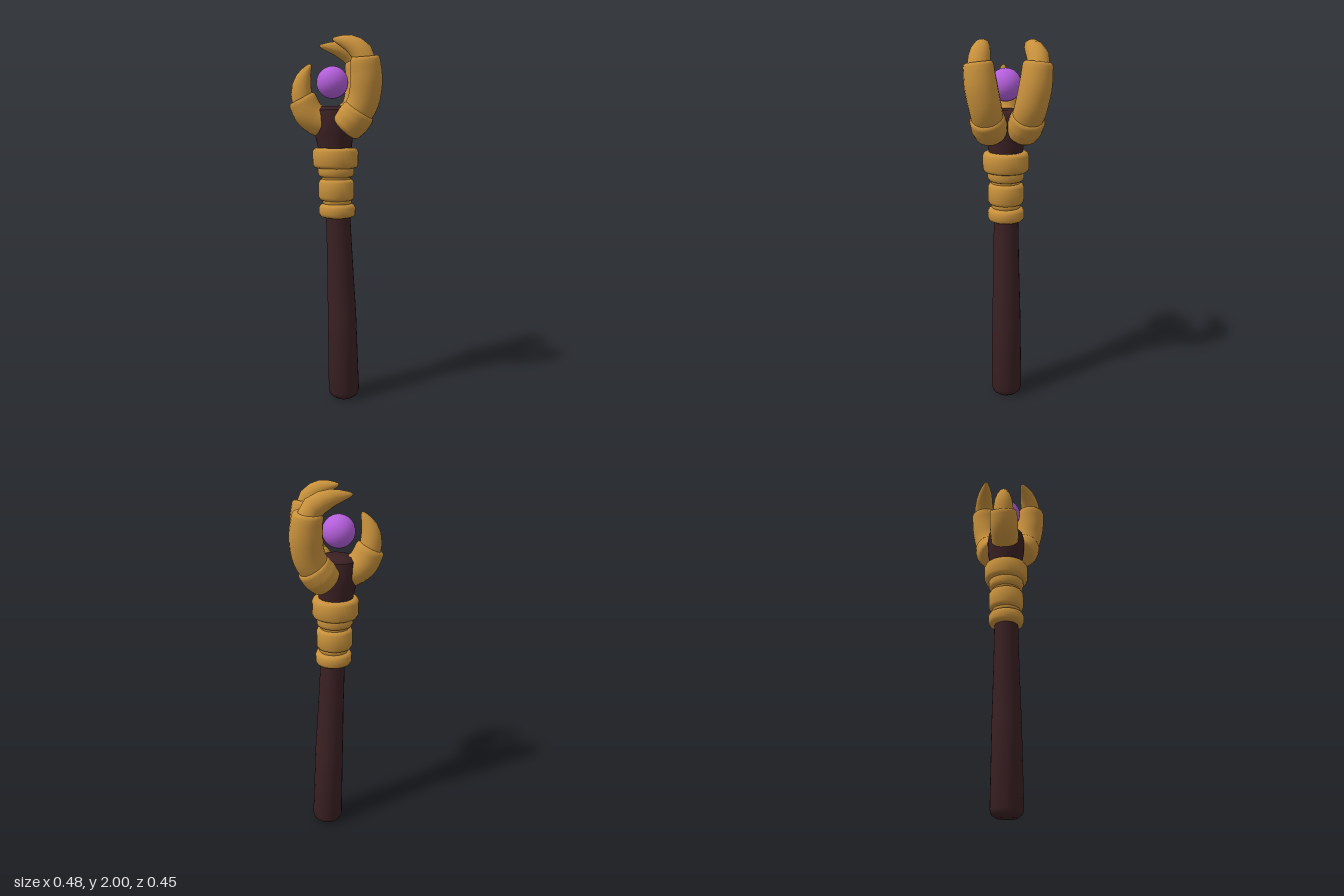
import * as THREE from 'three';
import { toCreasedNormals } from 'three/addons/utils/BufferGeometryUtils.js';

const material = (name, color) => {
  const m = new THREE.MeshStandardMaterial({ color });
  m.name = name;
  return m;
};

// Sweeps a round section along a smooth path; profile = [position 0..1, radius]
function sweep(path, profile, sides = 20) {
  const curve = new THREE.CatmullRomCurve3(path.map(p => new THREE.Vector3(...p)));
  const ref = new THREE.Vector3(0, 0, 1);
  const pos = [], index = [];
  profile.forEach(([t, r], i) => {
    const c = curve.getPointAt(t), tan = curve.getTangentAt(t);
    const u = new THREE.Vector3().crossVectors(ref, tan).normalize();
    const v = new THREE.Vector3().crossVectors(tan, u);
    for (let j = 0; j < sides; j++) {
      const a = j / sides * Math.PI * 2;
      const p = c.clone().addScaledVector(u, r * Math.cos(a)).addScaledVector(v, r * Math.sin(a));
      pos.push(p.x, p.y, p.z);
      if (i === 0) continue;
      const k = (j + 1) % sides, lo = (i - 1) * sides, hi = i * sides;
      index.push(lo + j, lo + k, hi + k, lo + j, hi + k, hi + j);
    }
  });
  const g = new THREE.BufferGeometry();
  g.setAttribute('position', new THREE.Float32BufferAttribute(pos, 3));
  g.setIndex(index);
  return toCreasedNormals(g, 0.75);
}

// Closed, softly rounded profile running through evenly spaced radii
function rounded(radii, bevel = 0.05, steps = 12) {
  const at = t => {
    const s = t * (radii.length - 1), i = Math.min(Math.floor(s), radii.length - 2);
    return THREE.MathUtils.lerp(radii[i], radii[i + 1], s - i);
  };
  const out = [[0, 0], [0, at(0) * 0.86], [bevel * 0.35, at(0) * 0.96]];
  for (let i = 0; i <= steps; i++) {
    const t = bevel + (1 - 2 * bevel) * i / steps;
    out.push([t, at(t)]);
  }
  out.push([1 - bevel * 0.35, at(1) * 0.96], [1, at(1) * 0.86], [1, 0]);
  return out;
}

export function createModel() {
  const group = new THREE.Group();
  const gold = material('gold', 0xc8913c);
  const wood = material('dark wood', 0x3a2023);
  const purple = material('purple crystal', 0xb45fdb);

  const add = (name, geometry, mat, parent = group) => {
    const mesh = new THREE.Mesh(geometry, mat);
    mesh.name = name;
    parent.add(mesh);
    return mesh;
  };

  // Slightly bent handle, thicker at the foot
  add('handle', sweep(
    [[0.063, 0.005, 0], [0.05, 0.5, 0], [0.028, 1.05, 0], [0.015, 1.42, 0]],
    [[0, 0], [0, 0.055], [0.012, 0.078], [0.03, 0.087], [0.35, 0.08], [0.55, 0.072], [0.74, 0.067], [1, 0.067], [1, 0]]
  ), wood);

  // Flared neck beneath the crystal
  add('neck', sweep(
    [[0.012, 1.38, 0], [0.008, 1.48, 0], [0.003, 1.56, 0], [0, 1.65, 0]],
    [[0, 0], [0, 0.09], [0.2, 0.092], [0.45, 0.105], [0.75, 0.108], [0.93, 0.1], [1, 0.075], [1, 0]]
  ), wood);

  // Stacked collar rings: [x, bottom, top, radius]
  const collar = new THREE.Group();
  collar.name = 'collar';
  group.add(collar);
  [
    [0.023, 1.048, 1.122, 0.1],
    [0.022, 1.11, 1.16, 0.08],
    [0.018, 1.14, 1.258, 0.098],
    [0.017, 1.24, 1.29, 0.08],
    [0.016, 1.268, 1.34, 0.099],
    [0.013, 1.318, 1.428, 0.125],
  ].forEach(([x, y0, y1, r]) => {
    const h = y1 - y0, b = 0.02;
    const pts = [[0, 0], [r - b, 0], [r - b * 0.35, b * 0.3], [r, b], [r, h - b], [r - b * 0.35, h - b * 0.3], [r - b, h], [0, h]];
    const g = new THREE.LatheGeometry(pts.map(p => new THREE.Vector2(...p)), 24);
    add('collarRing', toCreasedNormals(g, 0.75), gold, collar).position.set(x, y0, 0);
  });

  add('crystal', new THREE.SphereGeometry(0.086, 24, 16), purple).position.set(-0.004, 1.775, 0);

  // Claw tip narrowing to a blunt point
  const tipProfile = r => [[0, 0], [0, r], [0.25, r * 0.98], [0.45, r * 0.88], [0.62, r * 0.72],
    [0.78, r * 0.5], [0.9, r * 0.3], [0.97, r * 0.16], [1, 0]];

  // Small single claw
  const small = new THREE.Group();
  small.name = 'smallClaw';
  group.add(small);
  add('clawBase', sweep(
    [[0.01, 1.55, 0], [-0.055, 1.56, 0], [-0.125, 1.605, 0], [-0.17, 1.692, 0]],
    rounded([0.076, 0.08, 0.081, 0.077])
  ), gold, small);
  add('clawTip', sweep(
    [[-0.16, 1.66, 0], [-0.171, 1.73, 0], [-0.158, 1.8, 0], [-0.12, 1.872, 0]], tipProfile(0.058)
  ), gold, small);

  // Pair of large claws; the rear one reaches further over the crystal
  for (const s of [1, -1]) {
    const claw = new THREE.Group();
    claw.name = s > 0 ? 'frontClaw' : 'rearClaw';
    group.add(claw);
    add('clawCuff', sweep(
      [[0.055, 1.53, s * 0.078], [0.1, 1.58, s * 0.095], [0.135, 1.63, s * 0.108]],
      rounded([0.086, 0.094, 0.09], 0.14)
    ), gold, claw);
    add('clawBase', sweep(
      [[0.09, 1.57, s * 0.09], [0.147, 1.665, s * 0.113], [0.163, 1.78, s * 0.136], [0.152, 1.9, s * 0.149]],
      rounded([0.08, 0.084, 0.084, 0.076])
    ), gold, claw);
    add('clawTip', sweep(s > 0
      ? [[0.157, 1.86, 0.147], [0.142, 1.91, 0.143], [0.085, 1.962, 0.128], [-0.012, 1.99, 0.1]]
      : [[0.16, 1.86, -0.152], [0.142, 1.908, -0.152], [0.06, 1.958, -0.136], [-0.068, 1.978, -0.112]],
    tipProfile(0.058)), gold, claw);
  }

  return group;
}
